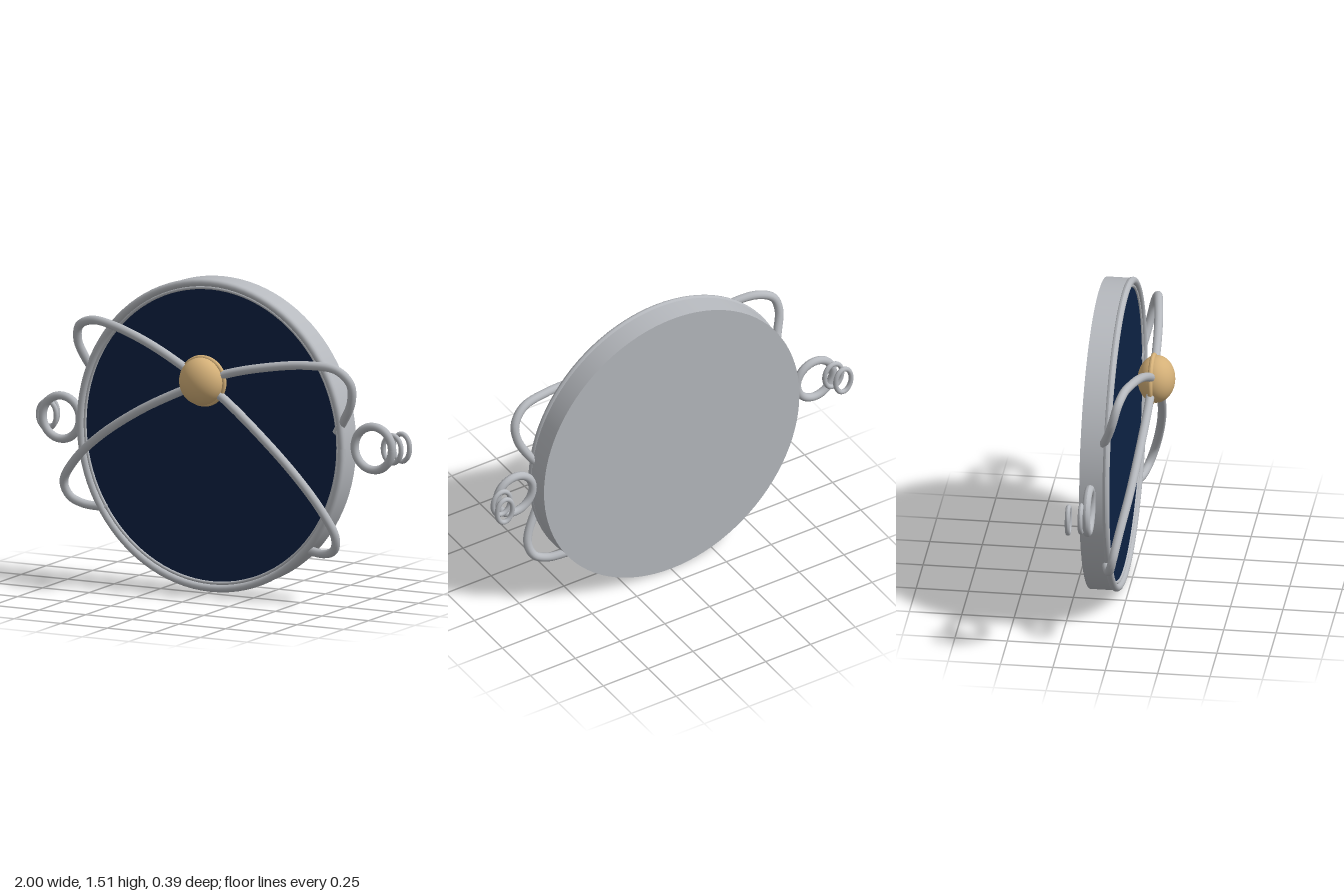
import * as THREE from 'three';

export function createModel() {
  const model = new THREE.Group();
  model.name = 'ornament';

  const material = (name, color) => {
    const m = new THREE.MeshStandardMaterial({ color });
    m.name = name;
    return m;
  };
  const silver = material('silver', 0xb6b9be);
  const navy = material('navy', 0x0c2143);
  const gold = material('gold', 0xd4b078);

  const add = (name, geometry, mat, x, y, z) => {
    const mesh = new THREE.Mesh(geometry, mat);
    mesh.name = name;
    mesh.position.set(x, y, z);
    model.add(mesh);
    return mesh;
  };

  // Oval ring facing +z: rx and ry are centre-line radii
  const ring = (name, mat, x, y, z, rx, ry, tube) => {
    const g = new THREE.TorusGeometry(1, tube, 14, 96);
    const p = g.attributes.position;
    for (let i = 0; i < p.count; i++) {
      const px = p.getX(i), py = p.getY(i);
      const r = Math.hypot(px, py), c = px / r, s = py / r;
      p.setXY(i, c * (rx + r - 1), s * (ry + r - 1));
    }
    g.computeVertexNormals();
    return add(name, g, mat, x, y, z);
  };

  const CY = 0.757;

  // Oval case and dark face
  const disc = (rx, ry, depth) =>
    new THREE.CylinderGeometry(1, 1, depth, 96).rotateX(Math.PI / 2).scale(rx, ry, 1);
  add('caseBody', disc(0.713, 0.747, 0.112), silver, 0, CY, -0.106);
  add('darkFace', disc(0.69, 0.725, 0.008), navy, 0, CY, -0.046);

  // Double rim around the face
  ring('outerRim', silver, 0, CY, -0.038, 0.701, 0.735, 0.018);
  ring('innerRim', silver, 0, CY, -0.042, 0.679, 0.71, 0.008);

  // Globe with equator band
  const globe = add('globe', new THREE.SphereGeometry(1, 48, 32), gold, 0.027, 1.045, 0.11);
  globe.scale.set(0.11, 0.114, 0.089);
  ring('globeBand', gold, 0.027, 1.045, 0.093, 0.112, 0.112, 0.012);

  // Bowed rails crossing behind the globe
  const rail = (name, points) => {
    const curve = new THREE.CatmullRomCurve3(points.map(p => new THREE.Vector3(...p)));
    add(name, new THREE.TubeGeometry(curve, 140, 0.021, 12), silver, 0, 0, 0);
  };
  rail('risingRail', [
    [0.66, 0.83, -0.06], [0.71, 0.89, -0.04], [0.765, 0.99, -0.015], [0.77, 1.08, 0.005],
    [0.71, 1.145, 0.028], [0.57, 1.16, 0.05], [0.38, 1.14, 0.073], [0.14, 1.085, 0.09],
    [-0.08, 0.99, 0.092], [-0.32, 0.87, 0.081], [-0.55, 0.72, 0.058], [-0.7, 0.585, 0.028],
    [-0.768, 0.475, 0.005], [-0.745, 0.405, -0.012], [-0.68, 0.37, -0.03], [-0.56, 0.358, -0.055],
  ]);
  rail('fallingRail', [
    [-0.64, 1.0, -0.065], [-0.675, 1.08, -0.03], [-0.698, 1.16, -0.005], [-0.68, 1.235, 0.015],
    [-0.6, 1.272, 0.035], [-0.47, 1.26, 0.06], [-0.28, 1.2, 0.08], [-0.08, 1.105, 0.094],
    [0.13, 0.975, 0.096], [0.34, 0.8, 0.09], [0.52, 0.62, 0.073], [0.64, 0.46, 0.045],
    [0.694, 0.34, 0.015], [0.675, 0.27, -0.01], [0.61, 0.243, -0.03], [0.51, 0.25, -0.055],
  ]);

  // Linked rings on both sides
  for (const [side, s] of [['left', 1], ['right', -1]]) {
    ring(side + 'LargeRing', silver, s * 0.838, 0.76, -0.1, 0.1, 0.104, 0.02);
    ring(side + 'SmallRing', silver, s * 0.926, 0.76, -0.124, 0.048, 0.066, 0.012);
    ring(side + 'EndRing', silver, s * 0.945, 0.76, -0.183, 0.043, 0.066, 0.012);
  }
  return model;
}
